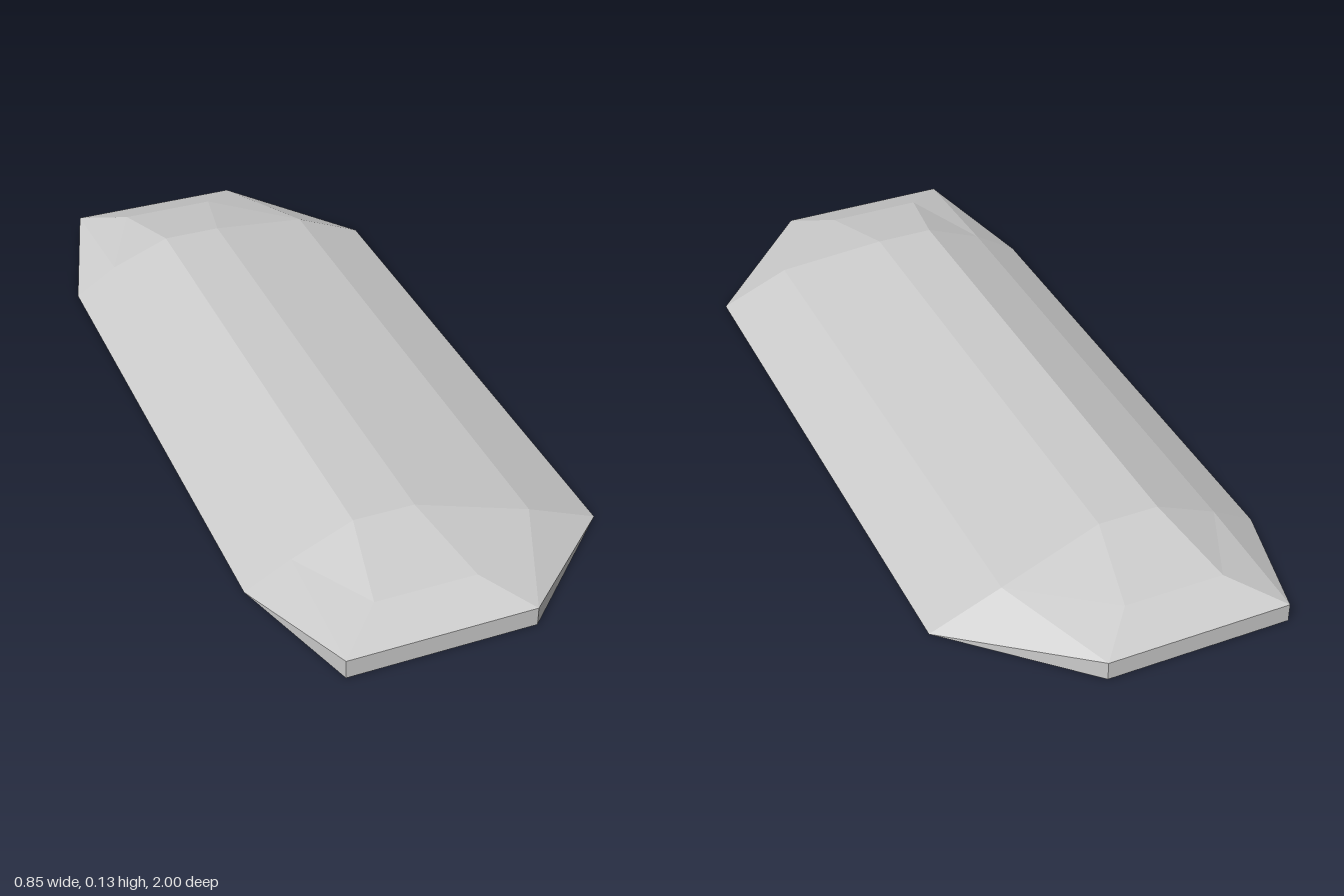
import * as THREE from 'three';

// Cross-section of the long body: [x, y, z where the front end begins]
const section = [
  [-0.425, 0, 0.665], [-0.315, 0.065, 0.67], [-0.165, 0.127, 0.665],
  [-0.015, 0.127, 0.665], [0.25, 0.073, 0.715], [0.425, 0, 0.715],
];
// Points of the tapered end: upper bevel, rim and foot
const bevel = [[-0.21, 0.085, 0.89], [0.035, 0.085, 0.89]];
const rim = [[-0.32, 0.047, 1], [0.13, 0.047, 1]];
const foot = [[-0.32, 0, 1], [0.13, 0, 1]];

const mirrorZ = ([x, y, z]) => [x, y, -z];

// Flat-shaded mesh from convex polygons
function facetMesh(name, polygons, material) {
  const positions = [];
  for (const p of polygons) {
    for (let i = 1; i < p.length - 1; i++) positions.push(...p[0], ...p[i], ...p[i + 1]);
  }
  const geometry = new THREE.BufferGeometry();
  geometry.setAttribute('position', new THREE.Float32BufferAttribute(positions, 3));
  geometry.computeVertexNormals();
  const mesh = new THREE.Mesh(geometry, material);
  mesh.name = name;
  return mesh;
}

export function createModel() {
  const group = new THREE.Group();
  group.name = 'facetedShell';
  const grey = new THREE.MeshStandardMaterial({ color: 0xcccccc, side: THREE.DoubleSide, flatShading: true });
  grey.name = 'light grey';

  // Long body, open underneath
  const strips = section.slice(0, -1).map((a, i) => {
    const b = section[i + 1];
    return [mirrorZ(a), a, b, mirrorZ(b)];
  });
  group.add(facetMesh('body', strips, grey));

  // Tapered end facets
  const [m0, m1, m2, m3, m4, m5] = section;
  const [e0, e1] = bevel, [r0, r1] = rim, [f0, f1] = foot;
  const slopes = [
    [m2, e0, e1, m3], [e0, r0, r1, e1],
    [m0, r0, m1], [m1, r0, e0], [m1, e0, m2],
    [m3, e1, m4], [e1, r1, m4], [m4, r1, m5],
  ];
  // Low upright walls around the end
  const walls = [[r0, f0, f1, r1], [m0, f0, r0], [m5, r1, f1]];

  const flip = (polygons) => polygons.map((p) => p.map(mirrorZ).reverse());
  group.add(
    facetMesh('frontSlope', slopes, grey), facetMesh('frontWall', walls, grey),
    facetMesh('backSlope', flip(slopes), grey), facetMesh('backWall', flip(walls), grey),
  );
  return group;
}
